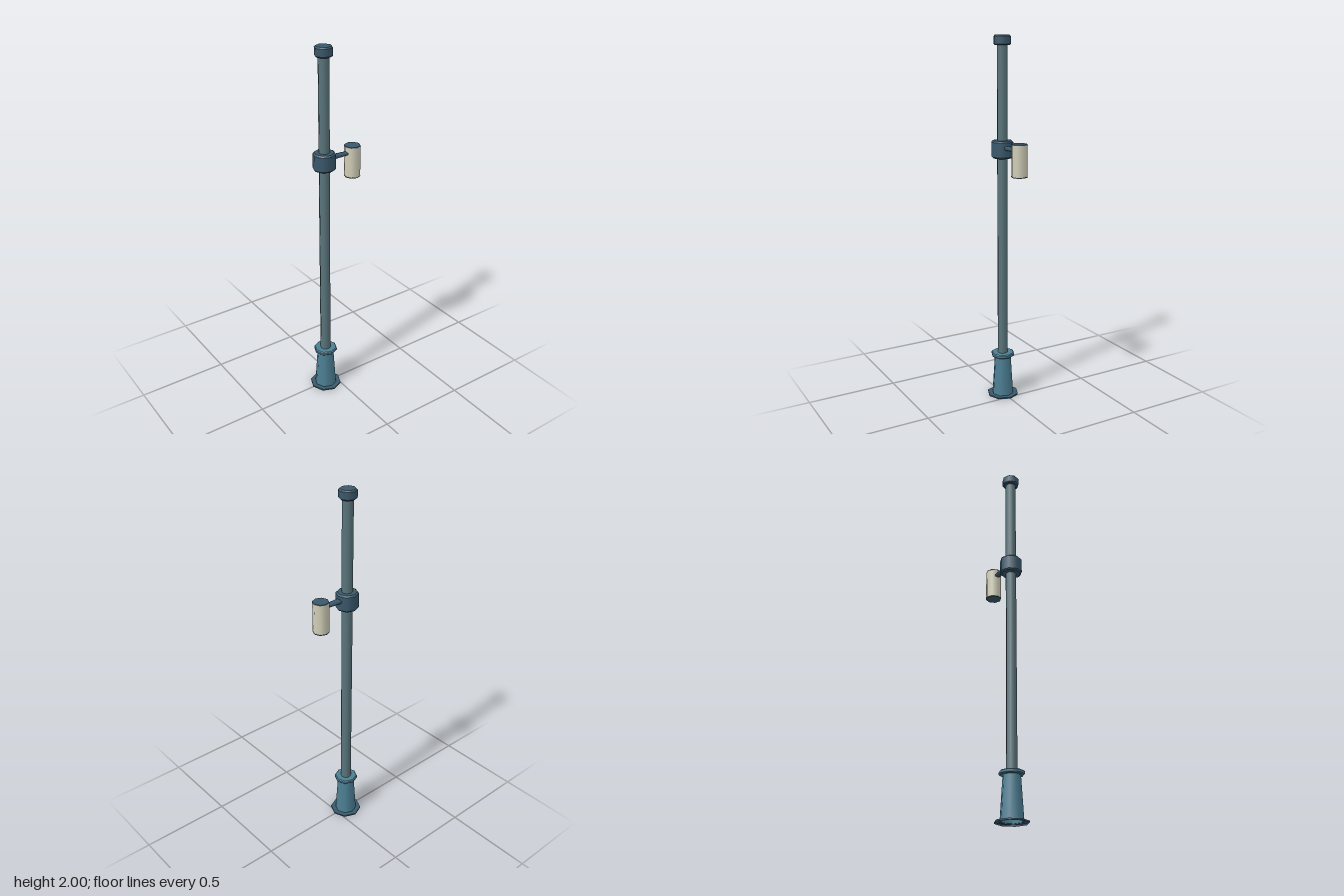
import * as THREE from 'three';

const POLE_X = -0.067;
const LAMP_X = 0.11;
const SIDES = 8;

function paint(name, color, open = false) {
  const m = new THREE.MeshStandardMaterial({ color });
  m.name = name;
  if (open) m.side = THREE.DoubleSide;
  return m;
}

export function createModel() {
  const group = new THREE.Group();
  group.name = 'streetLamp';

  const navy = paint('dark blue metal', 0x3a586c, true);
  const teal = paint('teal metal', 0x4c7f94, true);
  const grey = paint('grey teal pole', 0x5a757c);
  const cream = paint('cream lamp glass', 0xd2cfb8);

  const add = (name, geometry, material, x = POLE_X, y = 0) => {
    const mesh = new THREE.Mesh(geometry, material);
    mesh.name = name;
    mesh.position.set(x, y, 0);
    group.add(mesh);
    return mesh;
  };

  // Eight-sided tube or drum between two heights
  const drum = (name, bottomR, topR, y0, y1, material, x, open = false) =>
    add(name, new THREE.CylinderGeometry(topR, bottomR, y1 - y0, SIDES, 1, open), material, x, (y0 + y1) / 2);

  // Drum with chamfered rims: flat ends, smooth sides
  const collar = (name, r, chamfer, y0, y1, material) => {
    drum(name + 'Body', r, r, y0 + chamfer, y1 - chamfer, material, POLE_X, true);
    drum(name + 'LowerRim', r - chamfer, r, y0, y0 + chamfer, material, POLE_X);
    drum(name + 'UpperRim', r, r - chamfer, y1 - chamfer, y1, material, POLE_X);
  };

  // Hollow base with a flat foot plate
  const foot = new THREE.RingGeometry(0.055, 0.088, SIDES);
  foot.rotateX(-Math.PI / 2);
  add('footPlate', foot, navy, POLE_X, 0.008);
  drum('footEdge', 0.088, 0.088, 0, 0.008, navy, POLE_X, true);
  drum('base', 0.061, 0.046, 0.004, 0.236, teal, POLE_X, true);
  collar('baseRing', 0.066, 0.005, 0.233, 0.254, teal);

  // Pole, bracket collar and top cap
  drum('pole', 0.029, 0.029, 0.24, 1.96, grey, POLE_X);
  collar('bracketCollar', 0.061, 0.008, 1.362, 1.456, navy);
  collar('topCap', 0.047, 0.007, 1.948, 2, navy);

  // Flattened arm, narrowing toward the lamp
  const arm = new THREE.CylinderGeometry(0.015, 0.022, 0.14, SIDES);
  arm.rotateZ(-Math.PI / 2);
  arm.scale(1, 0.65, 1);
  add('arm', arm, navy, 0.02, 1.419);

  // Hanging lamp with dark end caps
  drum('lampGlass', 0.043, 0.043, 1.289, 1.452, cream, LAMP_X, true);
  drum('lampTop', 0.044, 0.043, 1.452, 1.457, navy, LAMP_X);
  drum('lampBottom', 0.043, 0.044, 1.284, 1.289, navy, LAMP_X);

  return group;
}
